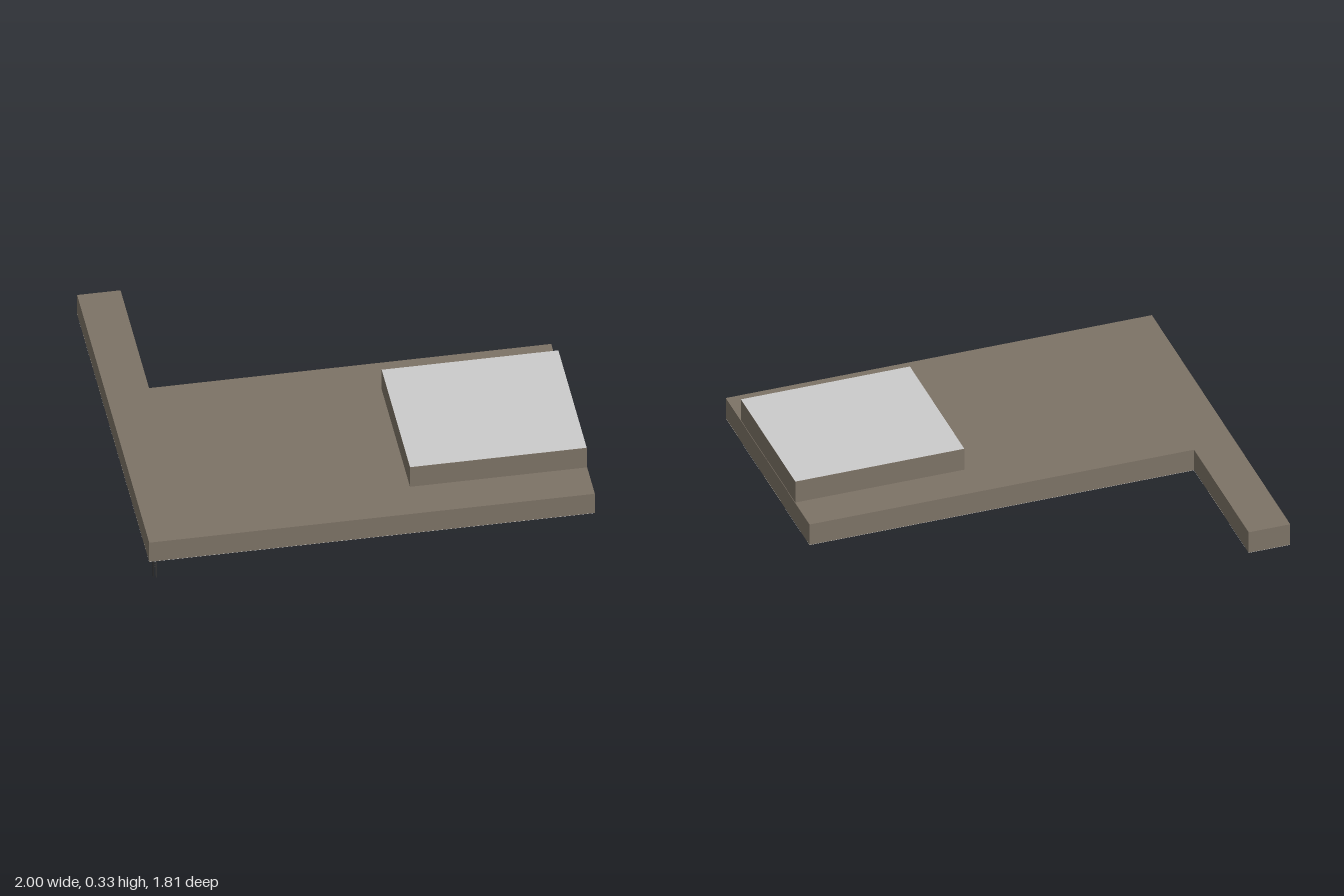
import * as THREE from 'three';

const BASE = 0.115, TOP = 0.222, ROOF = 0.332;

export function createModel() {
  const model = new THREE.Group();
  const grey = new THREE.MeshStandardMaterial({ color: 0xcccccc, side: THREE.DoubleSide });
  const brown = new THREE.MeshStandardMaterial({ color: 0x7d7366, flatShading: true });
  const dark = new THREE.MeshStandardMaterial({ color: 0x333333 });

  const add = (name, geometry, material, parent = model) => {
    const mesh = new THREE.Mesh(geometry, material);
    mesh.name = name;
    parent.add(mesh);
    return mesh;
  };
  // Box given by its minimum and maximum corners
  const box = (name, x0, x1, y0, y1, z0, z1, material, parent) =>
    add(name, new THREE.BoxGeometry(x1 - x0, y1 - y0, z1 - z0), material, parent)
      .position.set((x0 + x1) / 2, (y0 + y1) / 2, (z0 + z1) / 2);

  // L-shaped slab, drawn in plan (shape y = -z)
  const plan = new THREE.Shape([
    [-1, -0.905], [1, -0.905], [1, 0.19], [-0.805, 0.19], [-0.805, 0.905], [-1, 0.905],
  ].map(([x, y]) => new THREE.Vector2(x, y)));
  const slab = new THREE.ExtrudeGeometry(plan, { depth: TOP - BASE, bevelEnabled: false });
  add('roofSlab', slab.rotateX(-Math.PI / 2).translate(0, BASE, 0), brown);

  // Grey soffit covering the underside
  const soffit = new THREE.ShapeGeometry(plan).rotateX(-Math.PI / 2);
  add('soffit', soffit.translate(0, BASE - 0.001, 0), grey);

  // Raised block with its grey lid
  box('raisedBlock', 0.205, 0.998, TOP - 0.01, ROOF - 0.001, 0, 0.712, brown);
  add('blockLid', new THREE.PlaneGeometry(0.793, 0.712).rotateX(-Math.PI / 2), grey)
    .position.set(0.6015, ROOF, 0.356);

  // Thin panel outlines under the slab
  const panels = new THREE.Group();
  panels.name = 'panelOutlines';
  model.add(panels);
  const w = 0.003, low = BASE - 0.003;
  for (const [x0, x1, z0, z1] of [
    [0.205, 0.995, 0, 0.71], [-0.37, 0.1, 0.01, 0.7],
    [-0.8, -0.47, 0.01, 0.37], [-0.8, -0.47, 0.37, 0.72],
  ]) {
    for (const x of [x0, x1]) box('panelEdge', x - w / 2, x + w / 2, low, BASE, z0, z1, grey, panels);
    for (const z of [z0, z1]) box('panelEdge', x0, x1, low, BASE, z - w / 2, z + w / 2, grey, panels);
  }

  // Small ceiling fixtures
  for (const [x, z] of [
    [-0.12, 0.35], [0.04, -0.02], [0.26, 0.04], [0.69, 0.07], [0.97, 0.03], [0.97, 0.67],
    [0.24, 0.73], [0.65, 0.87], [-0.61, 0.57], [-0.83, 0.57], [-0.65, 0.1], [-0.83, -0.22],
  ]) {
    add('ceilingFixture', new THREE.CylinderGeometry(0.012, 0.012, 0.005, 12), dark)
      .position.set(x, BASE - 0.0025, z);
  }

  // Hanging bars
  box('hangingBar', 0.635, 0.8, 0.106, BASE, 0.622, 0.645, dark);
  box('shortBar', 0.525, 0.538, 0.108, BASE, 0.622, 0.71, dark);

  // Slender corner post: four rods tied by small rungs near the top
  const post = new THREE.Group();
  post.name = 'cornerPost';
  model.add(post);
  const xs = [-0.975, -0.962], zs = [0.861, 0.874];
  for (const x of xs) for (const z of zs) {
    box('postRod', x - 0.0015, x + 0.0015, 0, BASE, z - 0.0015, z + 0.0015, dark, post);
  }
  for (let i = 0; i < 5; i++) {
    const y = 0.06 + i * 0.011;
    for (const z of zs) box('postRung', xs[0], xs[1], y, y + 0.002, z - 0.001, z + 0.001, dark, post);
    for (const x of xs) box('postRung', x - 0.001, x + 0.001, y, y + 0.002, zs[0], zs[1], dark, post);
  }
  return model;
}
